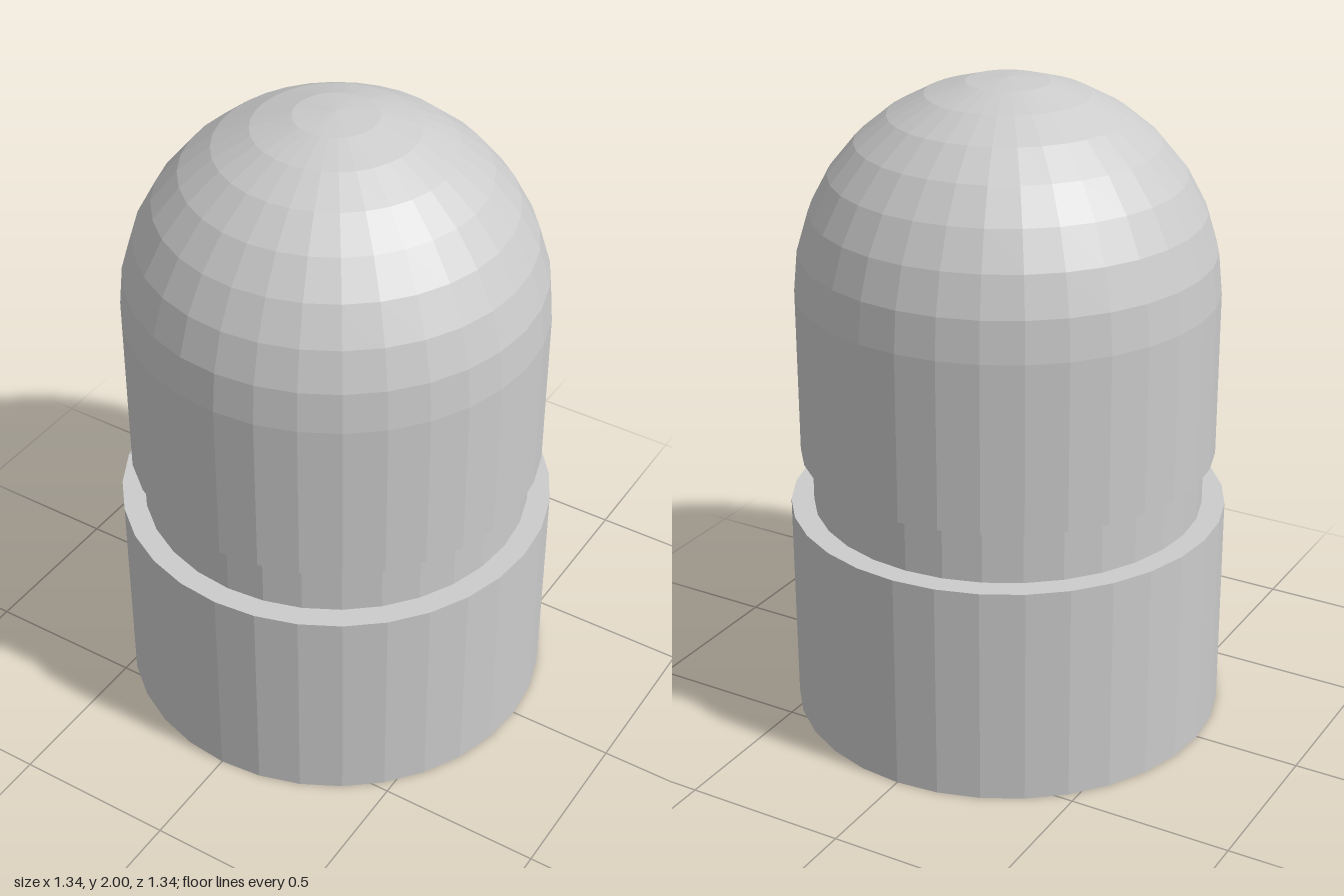
import * as THREE from 'three';

const SIDES = 32;

export function createModel() {
  const model = new THREE.Group();
  model.name = 'domedCapsule';
  const material = new THREE.MeshStandardMaterial({ color: 0xcccccc, flatShading: true });

  const add = (name, geometry, y = 0) => {
    const mesh = new THREE.Mesh(geometry, material);
    mesh.name = name;
    mesh.position.y = y;
    model.add(mesh);
  };
  const drum = (name, radius, bottom, top) =>
    add(name, new THREE.CylinderGeometry(radius, radius, top - bottom, SIDES), (top + bottom) / 2);

  // Wide base and the recessed neck above it
  drum('base', 0.67, 0, 0.68);
  drum('neck', 0.6, 0.68, 0.85);

  // Cap: closed underside, straight wall and hemispherical dome in one profile
  const radius = 0.635, rings = 8;
  const profile = [new THREE.Vector2(0, 0.85), new THREE.Vector2(radius, 0.85)];
  for (let i = 0; i <= rings; i++) {
    const a = (i / rings) * Math.PI / 2;
    const r = i === rings ? 0 : radius * Math.cos(a);
    profile.push(new THREE.Vector2(r, 2 - radius + radius * Math.sin(a)));
  }
  add('domedCap', new THREE.LatheGeometry(profile, SIDES));

  return model;
}
